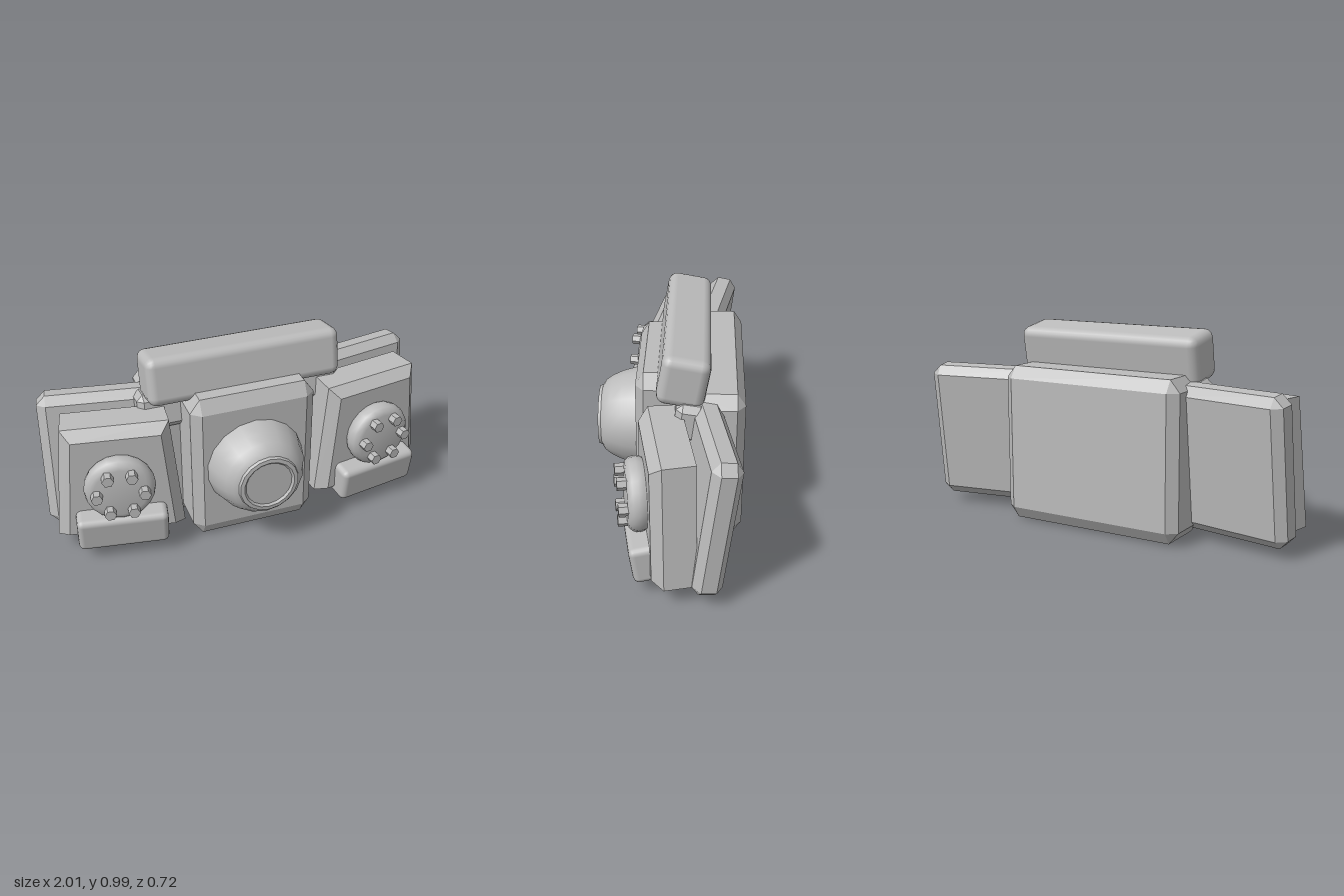
import * as THREE from 'three';
import { toCreasedNormals } from 'three/addons/utils/BufferGeometryUtils.js';
import { ConvexGeometry } from 'three/addons/geometries/ConvexGeometry.js';
import { RoundedBoxGeometry } from 'three/addons/geometries/RoundedBoxGeometry.js';

const grey = new THREE.MeshStandardMaterial({ color: 0xbcbcbc });
grey.name = 'grey';

const deg = THREE.MathUtils.degToRad;
const v = (x, y, z) => new THREE.Vector3(x, y, z);

function add(parent, name, geometry, x, y, z) {
  const mesh = new THREE.Mesh(geometry, grey);
  mesh.name = name;
  mesh.position.set(x, y, z);
  parent.add(mesh);
  return mesh;
}

// Box with every edge cut off; cx, cy, cz are the cut depths along each axis
function chamferBox(w, h, d, cx, cy, cz) {
  const pts = [];
  for (const sx of [-0.5, 0.5]) for (const sy of [-0.5, 0.5]) for (const sz of [-0.5, 0.5]) {
    const x = sx * w, y = sy * h, z = sz * d;
    const ix = x - 2 * sx * cx, iy = y - 2 * sy * cy, iz = z - 2 * sz * cz;
    pts.push(v(x, iy, iz), v(ix, y, iz), v(ix, iy, z));
  }
  return new ConvexGeometry(pts);
}

// Turned part facing +z, from [radius, z] pairs
function turned(profile, sides, crease = 0.6) {
  const geo = new THREE.LatheGeometry(profile.map(([r, z]) => new THREE.Vector2(r, z)), sides);
  geo.rotateX(Math.PI / 2);
  return toCreasedNormals(geo, crease);
}

// Tapered front panel, wider at the bottom, with a bevelled front face
function panelGeometry() {
  const pts = [];
  const ring = (z, top, bottom, y0, y1) => {
    for (const s of [-1, 1]) pts.push(v(s * top, y1, z), v(s * bottom, y0, z));
  };
  ring(-0.1, 0.25, 0.31, 0.1, 0.71);
  ring(0.05, 0.26, 0.32, 0.1, 0.71);
  ring(0.1, 0.215, 0.265, 0.12, 0.66);
  return new ConvexGeometry(pts);
}

export function createModel() {
  const model = new THREE.Group();
  model.name = 'device';

  // Central body
  add(model, 'centreBlock', chamferBox(0.64, 0.805, 0.28, 0.05, 0.07, 0.04), 0, 0.4025, 0.02);
  add(model, 'backBlock', chamferBox(0.97, 0.78, 0.3, 0.05, 0.06, 0.04), 0, 0.4, -0.21);

  // Tilted bar on top and the crossbar behind it
  const bar = add(model, 'topBar', new RoundedBoxGeometry(0.99, 0.245, 0.225, 2, 0.045), 0, 0.862, -0.072);
  bar.rotation.x = deg(-10);
  const cross = add(model, 'crossbar', chamferBox(1.06, 0.19, 0.14, 0.03, 0.03, 0.03), 0, 0.67, -0.1);
  cross.rotation.x = deg(-8);

  // Central dome with a raised ring around the lens
  add(model, 'dome', turned([
    [0.255, 0.13], [0.25, 0.17], [0.23, 0.24], [0.205, 0.295], [0.18, 0.33],
    [0.155, 0.345], [0.15, 0.36], [0.13, 0.362], [0.12, 0.352], [0, 0.352],
  ], 18), 0, 0.405, 0);

  const panel = panelGeometry();
  const dial = turned([
    [0.155, 0.08], [0.17, 0.11], [0.175, 0.135], [0.168, 0.162], [0.15, 0.18], [0.13, 0.185], [0, 0.185],
  ], 20);
  const bolt = toCreasedNormals(new THREE.CylinderGeometry(0.029, 0.029, 0.06, 6).rotateX(Math.PI / 2), 0.3);
  bolt.rotateZ(Math.PI / 6);
  const tray = new RoundedBoxGeometry(0.45, 0.19, 0.13, 2, 0.03);
  const wing = chamferBox(0.6, 0.71, 0.14, 0.045, 0.045, 0.035);

  // Each side is angled so that its outer end sweeps back
  for (const [side, s] of [['left', 1], ['right', -1]]) {
    const back = add(model, side + 'BackWing', wing, s * 0.695, 0.405, -0.188);
    back.rotation.order = 'YXZ';
    back.rotation.set(deg(-7), s * deg(10), 0);

    const unit = new THREE.Group();
    unit.name = side + 'FrontUnit';
    unit.position.x = s * 0.665;
    unit.rotation.y = s * deg(9.5);
    model.add(unit);

    add(unit, 'panel', panel, 0, 0, 0);
    add(unit, 'dial', dial, 0, 0.41, 0);
    for (let i = 0; i < 6; i++) {
      const a = i * Math.PI / 3;
      add(unit, 'bolt', bolt, 0.115 * Math.cos(a), 0.41 + 0.115 * Math.sin(a), 0.197);
    }
    const box = add(unit, 'lowerBox', tray, 0, 0.165, 0.12);
    box.rotation.x = deg(8);
  }
  return model;
}
